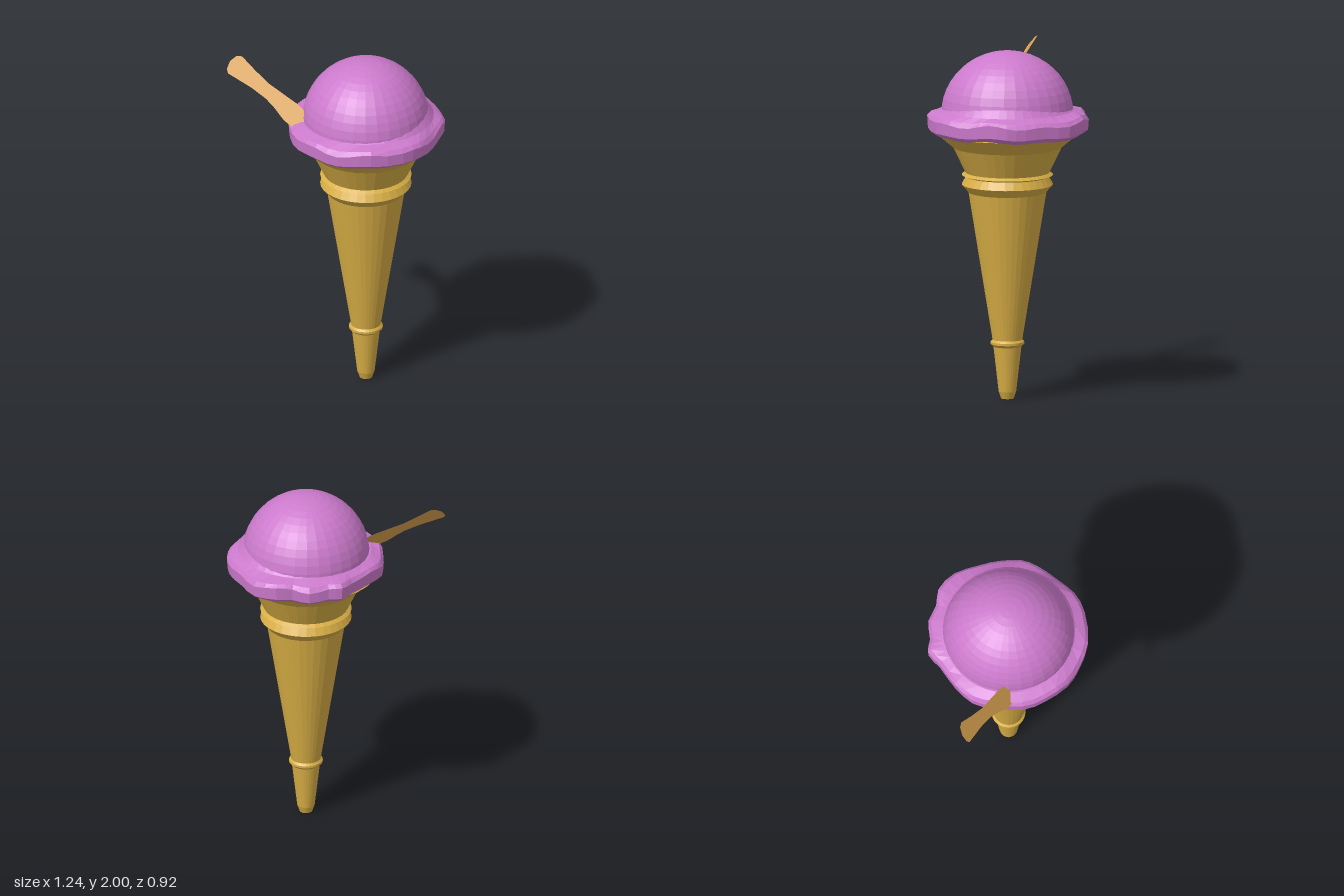
import * as THREE from 'three';

const AXIS_X = 0.17; // the cone and scoop stand to one side of the stick

function part(name, geometry, color, side = THREE.FrontSide) {
  const material = new THREE.MeshStandardMaterial({ color, flatShading: true, side });
  const mesh = new THREE.Mesh(geometry, material);
  mesh.name = name;
  return mesh;
}

// Wafer cone: blunt tip, thin lower ring, double collar and flared cup
function makeCone() {
  const profile = [
    [0, 0], [0.036, 0], [0.05, 0.04], [0.08, 0.3], [0.096, 0.315], [0.096, 0.328],
    [0.085, 0.34], [0.222, 1.19], [0.26, 1.235], [0.235, 1.28], [0.26, 1.29],
    [0.24, 1.305], [0.31, 1.45], [0.41, 1.535], [0.36, 1.56],
  ].map(([r, y]) => new THREE.Vector2(r, y));
  return part('cone', new THREE.LatheGeometry(profile, 32), 0xd8ae45, THREE.DoubleSide);
}

// Rounded dome of the scoop
function makeDome() {
  const dome = new THREE.SphereGeometry(0.362, 32, 13, 0, Math.PI * 2, 0, Math.PI * 0.54);
  dome.scale(1, 1, 1.04);
  dome.translate(0, 1.638, 0);
  return part('scoop', dome, 0xcc7acc);
}

// Ruffled skirt: cross-sections between the dome and an uneven outer rim
function makeSkirt() {
  const rim = [
    [0.45, -0.02], [0.427, -0.13], [0.373, -0.243], [0.3, -0.373], [0.177, -0.443],
    [0.083, -0.437], [-0.013, -0.463], [-0.123, -0.43], [-0.2, -0.427], [-0.257, -0.35],
    [-0.367, -0.237], [-0.433, -0.123], [-0.44, 0], [-0.417, 0.167], [-0.34, 0.287],
    [-0.223, 0.393], [-0.1, 0.437], [0.033, 0.455], [0.217, 0.397], [0.317, 0.317],
    [0.383, 0.2], [0.427, 0.083],
  ].map(([x, z]) => new THREE.Vector3(x, 0, z));
  const curve = new THREE.CatmullRomCurve3(rim, true);
  const count = 44;
  const positions = [];
  const indices = [];
  let rings = 0;
  for (let j = 0; j < count; j++) {
    const p = curve.getPoint(j / count);
    const angle = Math.atan2(p.z, p.x);
    const outer = Math.hypot(p.x, p.z);
    const wave = Math.sin(angle * 9) * 0.009 + Math.sin(angle * 5 + 1) * 0.007;
    const blend = 0.5 + 0.5 * Math.cos(angle); // the skirt melts into the dome on one side
    const section = [
      [0.345 + 0.008 * blend, 1.66 + 0.055 * blend],
      [0.372 + 0.014 * blend, 1.662 + 0.008 * blend],
      [outer * 0.96, 1.645 + wave * 0.5],
      [outer, 1.622 + wave],
      [outer * 0.99, 1.555 + wave * 0.5],
      [outer * 0.92, 1.53 + wave * 0.4],
      [0.37, 1.535],
    ];
    rings = section.length;
    for (const [r, y] of section) {
      positions.push(r * Math.cos(angle), y, r * Math.sin(angle));
    }
    const next = (j + 1) % count;
    for (let i = 0; i < rings - 1; i++) {
      const a = j * rings + i;
      const b = next * rings + i;
      indices.push(a, a + 1, b, b, a + 1, b + 1);
    }
  }
  const geometry = new THREE.BufferGeometry();
  geometry.setAttribute('position', new THREE.Float32BufferAttribute(positions, 3));
  geometry.setIndex(indices);
  geometry.computeVertexNormals();
  return part('scoopSkirt', geometry, 0xcc7acc);
}

// Thin waisted stick, drawn from the front and then leaned back
function makeStick() {
  const outline = [
    [-0.62, 1.915], [-0.603, 1.95], [-0.565, 1.973], [-0.534, 1.97], [-0.46, 1.905],
    [-0.38, 1.841], [-0.222, 1.746], [-0.185, 1.718], [-0.15, 1.66], [-0.2, 1.62],
    [-0.249, 1.64], [-0.296, 1.672], [-0.35, 1.73], [-0.397, 1.772], [-0.48, 1.825],
    [-0.614, 1.894],
  ].map(([x, y]) => new THREE.Vector2(x, y));
  const geometry = new THREE.ShapeGeometry(new THREE.Shape(outline));
  const pos = geometry.attributes.position;
  for (let i = 0; i < pos.count; i++) {
    pos.setZ(i, -0.1 - 0.773 * (pos.getY(i) - 1.935) - 0.07 * (pos.getX(i) + 0.58));
  }
  geometry.computeVertexNormals();
  return part('stick', geometry, 0xdba350, THREE.DoubleSide);
}

export function createModel() {
  const model = new THREE.Group();
  model.name = 'iceCreamCone';
  const upright = new THREE.Group();
  upright.name = 'coneAndScoop';
  upright.position.x = AXIS_X;
  upright.add(makeCone(), makeDome(), makeSkirt());
  model.add(upright, makeStick());
  return model;
}
